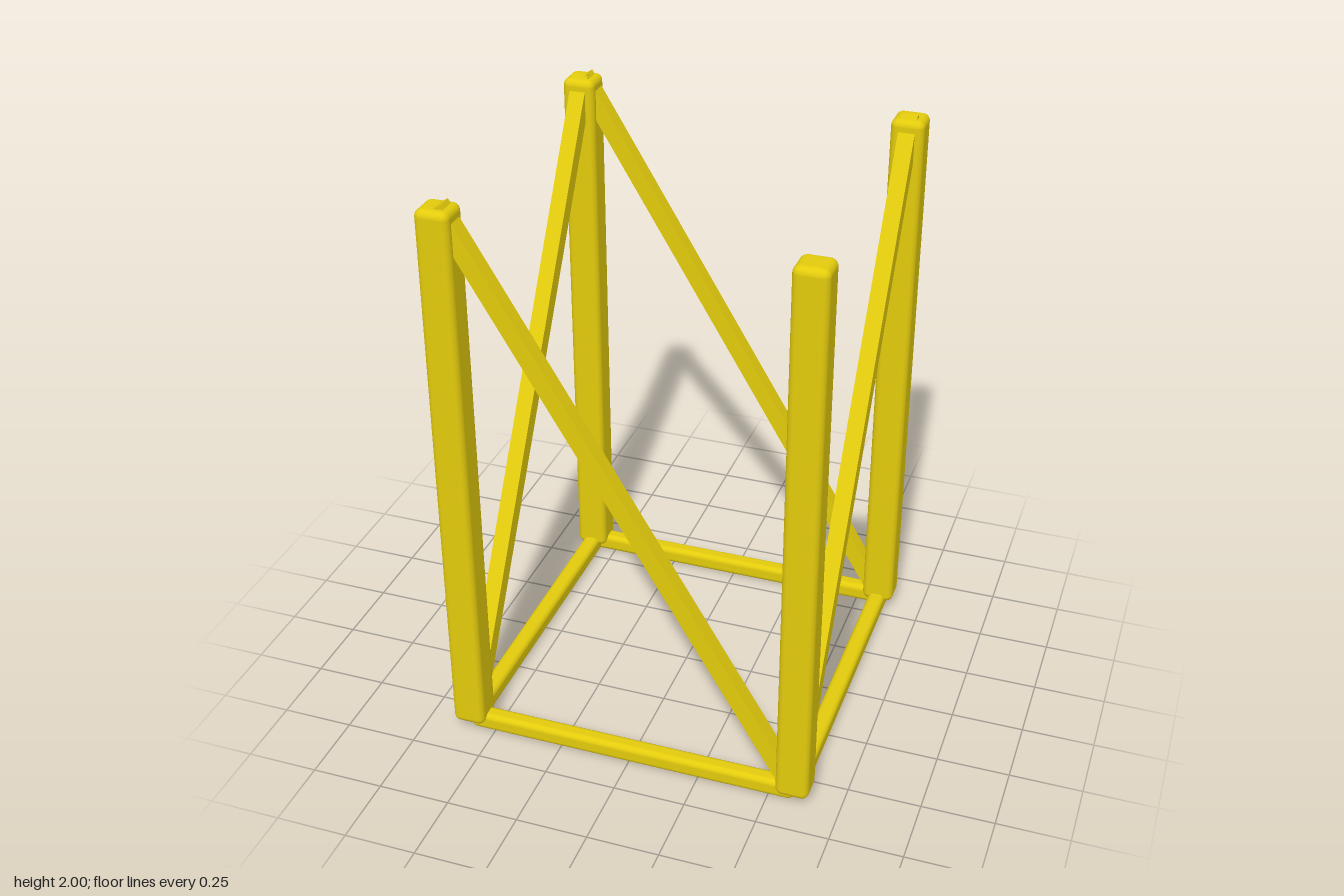
import * as THREE from 'three';
import { RoundedBoxGeometry } from 'three/addons/geometries/RoundedBoxGeometry.js';

export function createModel() {
  const model = new THREE.Group();
  model.name = 'towerFrame';
  const yellow = new THREE.MeshStandardMaterial({ color: 0xe3cb0c });
  yellow.name = 'yellow paint';

  const half = 0.587;   // post centre lines
  const low = 0.034;    // node height at the base
  const high = 1.987;   // node height at the top

  // A bar running along its local y axis between two points
  function bar(name, geometry, from, to) {
    const mesh = new THREE.Mesh(geometry, yellow);
    mesh.name = name;
    const dir = to.clone().sub(from).normalize();
    mesh.position.copy(from).add(to).multiplyScalar(0.5);
    mesh.quaternion.setFromUnitVectors(new THREE.Vector3(0, 1, 0), dir);
    model.add(mesh);
  }
  const node = (sx, y, sz) => new THREE.Vector3(sx * half, y, sz * half);

  const postGeo = new RoundedBoxGeometry(0.115, high - low, 0.115, 4, 0.025);
  const railGeo = new RoundedBoxGeometry(0.062, half * 2, 0.066, 4, 0.02);
  const sideRailGeo = new RoundedBoxGeometry(0.066, half * 2, 0.062, 4, 0.02);
  const braceGeo = new THREE.BoxGeometry(0.057, Math.hypot(half * 2, high - low), 0.057);

  // Four upright posts
  for (const sx of [-1, 1]) {
    for (const sz of [-1, 1]) bar('post', postGeo, node(sx, low, sz), node(sx, high, sz));
  }

  for (const s of [-1, 1]) {
    // Base rails, running from node to node
    bar('crossRail', sideRailGeo, node(-1, low, s), node(1, low, s));
    bar('sideRail', railGeo, node(s, low, -1), node(s, low, 1));
    // Diagonal braces, one on each face
    bar('crossBrace', braceGeo, node(1, low, s), node(-1, high, s));
    bar('sideBrace', braceGeo, node(s, low, 1), node(s, high, -1));
  }
  return model;
}
